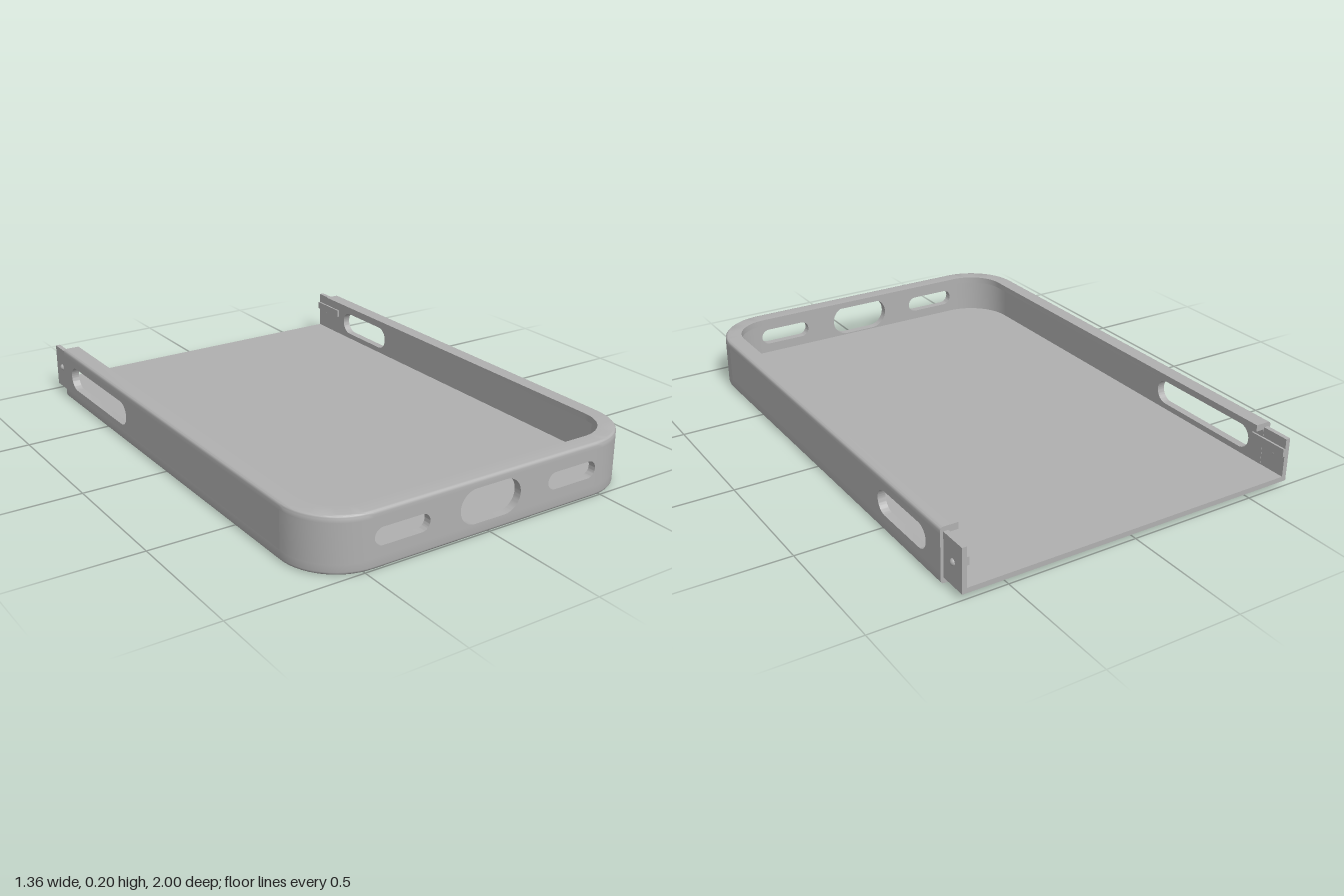
import * as THREE from 'three';
import { toCreasedNormals } from 'three/addons/utils/BufferGeometryUtils.js';

const W = 0.68, FRONT = 1, BACK = -0.89, R = 0.21, H = 0.205;
const WALL = 0.03, FLOOR = 0.04, LIP_Y = 0.18, LIP = 0.065;

// Path points with outward normals for one front corner
function corner(side) {
  const pts = [];
  for (let i = 0; i <= 14; i++) {
    const a = (i / 14) * Math.PI / 2;
    const nx = side * Math.cos(a), nz = Math.sin(a);
    pts.push({ x: side * (W - R) + R * nx, z: FRONT - R + R * nz, nx, nz });
  }
  return side < 0 ? pts : pts.reverse();
}

// Sweeps a convex section of [inset, y] points along a path
function sweep(path, section) {
  const pos = [], n = section.length;
  const at = (j, i) => {
    const p = path[j], [d, y] = section[i % n];
    return [p.x - p.nx * d, y, p.z - p.nz * d];
  };
  const tri = (a, b, c) => pos.push(...a, ...b, ...c);
  for (let j = 0; j < path.length - 1; j++) {
    for (let i = 0; i < n; i++) {
      tri(at(j, i), at(j + 1, i), at(j, i + 1));
      tri(at(j + 1, i), at(j + 1, i + 1), at(j, i + 1));
    }
  }
  const e = path.length - 1;
  for (let i = 1; i < n - 1; i++) {
    tri(at(0, 0), at(0, i), at(0, i + 1));
    tri(at(e, 0), at(e, i + 1), at(e, i));
  }
  const g = new THREE.BufferGeometry();
  g.setAttribute('position', new THREE.Float32BufferAttribute(pos, 3));
  return toCreasedNormals(g, 0.6);
}

// Stadium-shaped opening
function slot(u0, u1, y0, y1) {
  const r = (y1 - y0) / 2, c = (y0 + y1) / 2;
  const h = new THREE.Path();
  h.absarc(u1 - r, c, r, -Math.PI / 2, Math.PI / 2, false);
  h.absarc(u0 + r, c, r, Math.PI / 2, Math.PI * 1.5, false);
  h.closePath();
  return h;
}

// Flat wall panel pierced by slots
function panel(u0, u1, slots) {
  const s = new THREE.Shape();
  s.moveTo(u0, FLOOR).lineTo(u1, FLOOR).lineTo(u1, LIP_Y).lineTo(u0, LIP_Y).closePath();
  s.holes = slots.map((a) => slot(...a));
  const g = new THREE.ExtrudeGeometry(s, { depth: WALL, bevelEnabled: false, curveSegments: 16 });
  return toCreasedNormals(g, 0.6);
}

export function createModel() {
  const model = new THREE.Group();
  model.name = 'phoneCaseShell';
  const grey = new THREE.MeshStandardMaterial({ color: 0xb0b0b0 });
  grey.name = 'grey';
  const add = (name, geometry, x = 0, y = 0, z = 0) => {
    const m = new THREE.Mesh(geometry, grey);
    m.name = name;
    m.position.set(x, y, z);
    model.add(m);
    return m;
  };

  // Floor plate
  const i = 0.012, fw = W - i, ff = FRONT - i, fr = R - i;
  const floor = new THREE.Shape();
  floor.moveTo(-fw, BACK).lineTo(fw, BACK).lineTo(fw, ff - fr);
  floor.absarc(fw - fr, ff - fr, fr, 0, Math.PI / 2, false);
  floor.absarc(-fw + fr, ff - fr, fr, Math.PI / 2, Math.PI, false);
  floor.closePath();
  const floorGeo = new THREE.ExtrudeGeometry(floor, { depth: FLOOR, bevelEnabled: false, curveSegments: 14 });
  add('floor', floorGeo.rotateX(Math.PI / 2), 0, FLOOR, 0);

  // Rounded bottom edge and overhanging lip, running round three sides
  const path = [
    { x: -W, z: BACK, nx: -1, nz: 0 }, ...corner(-1),
    ...corner(1), { x: W, z: BACK, nx: 1, nz: 0 },
  ];
  const round = 0.012;
  const bottom = [[WALL, 0]], top = [[LIP, LIP_Y], [0, LIP_Y]];
  for (let k = 0; k <= 4; k++) {
    const a = (k / 4) * Math.PI / 2;
    bottom.push([round * (1 - Math.sin(a)), round * (1 - Math.cos(a))]);
    top.push([round * (1 - Math.cos(a)), H - round * (1 - Math.sin(a))]);
  }
  bottom.push([0, FLOOR], [WALL, FLOOR]);
  top.push([LIP, H]);
  add('bottomEdge', sweep(path, bottom));
  add('lip', sweep(path, top));

  // Front wall with port and speaker openings
  add('frontWall', panel(-(W - R), W - R, [
    [-0.465, -0.25, 0.078, 0.142], [-0.127, 0.127, 0.045, 0.173], [0.25, 0.465, 0.078, 0.142],
  ]), 0, 0, FRONT - WALL);

  // Both sides: wall, rounded corner and joining tongue
  const wallSection = [[WALL, FLOOR], [0, FLOOR], [0, LIP_Y], [WALL, LIP_Y]];
  for (const side of [-1, 1]) {
    const name = side > 0 ? 'left' : 'right';
    const opening = side > 0 ? [-0.8, -0.48, 0.062, 0.155] : [-0.82, -0.31, 0.062, 0.155];
    const wall = panel(BACK, FRONT - R, [opening]).rotateY(-Math.PI / 2);
    add(name + 'Wall', wall, side > 0 ? W : -W + WALL, 0, 0);
    add(name + 'Corner', sweep(corner(side), wallSection));
    add(name + 'Tongue', new THREE.BoxGeometry(0.018, 0.167, 0.12), side * 0.66, 0.1045, -0.94);
    add(name + 'TongueRib', new THREE.BoxGeometry(0.01, 0.03, 0.16), side * 0.648, 0.135, -0.92);
    add(name + 'SnapBump', new THREE.SphereGeometry(0.014, 16, 12), side * 0.664, 0.108, -0.945);
  }

  // Thin floor tongue behind the shell
  add('floorTongue', new THREE.BoxGeometry(1.336, 0.019, 0.12), 0, 0.0305, -0.94);

  return model;
}
